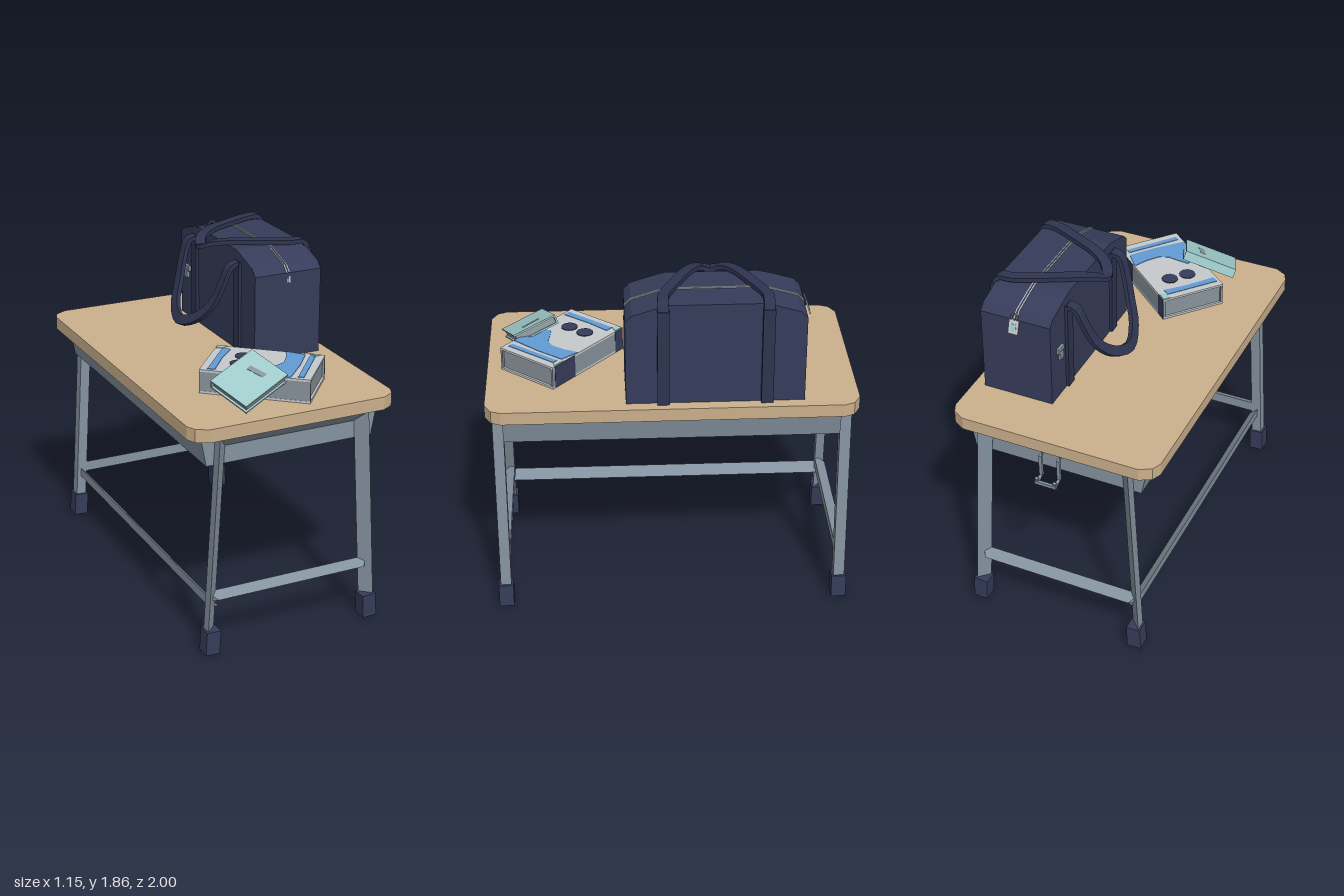
import * as THREE from 'three';
import { ConvexGeometry } from 'three/addons/geometries/ConvexGeometry.js';

const mat = (name, color) => {
  const m = new THREE.MeshStandardMaterial({ color });
  m.name = name;
  return m;
};
const V = (x, y, z) => new THREE.Vector3(x, y, z);

export function createModel() {
  const wood = mat('wood', 0xcbb08c);
  const steel = mat('steel', 0x84929f);
  const navy = mat('navy', 0x363c5a);
  const strapNavy = mat('strap navy', 0x2e3450);
  const teal = mat('teal', 0x9fcaca);
  const paleGrey = mat('pale grey', 0xc6cacd);
  const blue = mat('sky blue', 0x629bd4);
  const pageGrey = mat('page grey', 0x87929a);

  const root = new THREE.Group();
  const add = (name, geo, m, parent = root) => {
    const mesh = new THREE.Mesh(geo, m);
    mesh.name = name;
    parent.add(mesh);
    return mesh;
  };
  const box = (name, w, h, d, x, y, z, m, parent) => {
    const mesh = add(name, new THREE.BoxGeometry(w, h, d), m, parent);
    mesh.position.set(x, y, z);
    return mesh;
  };
  const hull = (name, pts, m, parent) => add(name, new ConvexGeometry(pts), m, parent);
  const group = (name) => {
    const g = new THREE.Group();
    g.name = name;
    root.add(g);
    return g;
  };

  // Flat strap swept along points; up sets which way its broad face looks
  const ribbon = (pts, up, w, t) => {
    const pos = [], idx = [], n = pts.length;
    pts.forEach((p, i) => {
      const T = pts[Math.min(i + 1, n - 1)].clone().sub(pts[Math.max(i - 1, 0)]).normalize();
      const W = T.clone().cross(up).normalize();
      const N = W.clone().cross(T);
      for (const [a, b] of [[1, 1], [-1, 1], [-1, -1], [1, -1]]) {
        const c = p.clone().addScaledVector(W, a * w / 2).addScaledVector(N, b * t / 2);
        pos.push(c.x, c.y, c.z);
      }
      if (i < n - 1) for (let j = 0; j < 4; j++) {
        const a = i * 4 + j, b = i * 4 + (j + 1) % 4;
        idx.push(a, a + 4, b, b, a + 4, b + 4);
      }
    });
    const e = (n - 1) * 4;
    idx.push(0, 1, 2, 0, 2, 3, e, e + 2, e + 1, e, e + 3, e + 2);
    const g = new THREE.BufferGeometry();
    g.setAttribute('position', new THREE.Float32BufferAttribute(pos, 3));
    g.setIndex(idx);
    const flat = g.toNonIndexed();
    flat.computeVertexNormals();
    return flat;
  };

  // Table top with faceted corners
  const hz = 0.973, top = [];
  const corner = [[0.575, hz - 0.085], [0.553, hz - 0.035], [0.49, hz]];
  for (const y of [1.2, 1.27]) for (const [x, z] of corner)
    for (const sx of [-1, 1]) for (const sz of [-1, 1]) top.push(V(sx * x, y, 0.027 + sz * z));
  hull('tableTop', top, wood);

  // Tapered tray under the top
  const tray = [];
  for (const s of [-1, 1]) for (const z of [-0.855, 0.912]) tray.push(V(s * 0.5, 1.2, z), V(s * 0.469, 1.035, z));
  hull('tray', tray, steel);

  // End frames: triangular legs, top bar and lower bar
  const outer = (y) => 0.493 - y * 0.0613;
  for (const [label, zo, zi] of [['front', 0.97, 0.912], ['back', -0.92, -0.86]]) {
    const topBar = [], lowBar = [];
    for (const s of [-1, 1]) {
      const leg = [];
      for (const y of [0.05, 1.193]) {
        const x = outer(y);
        leg.push(V(s * x, y, zo), V(s * x, y, zi), V(s * (x - 0.057), y, zi));
      }
      hull(label + 'Leg', leg, steel);
      topBar.push(V(s * 0.42, 1.193, zo), V(s * 0.42, 1.193, zi), V(s * 0.365, 1.13, zi));
      lowBar.push(V(s * 0.465, 0.335, zi), V(s * 0.465, 0.275, zi), V(s * 0.425, 0.305, zo));
      box(label + 'Foot', 0.078, 0.13, 0.08, s * 0.461, 0.068, (zo + zi) / 2, navy).rotation.z = s * 0.055;
    }
    hull(label + 'TopBar', topBar, steel);
    hull(label + 'LowerBar', lowBar, steel);
  }

  // Long stretcher on one side
  const rail = [];
  for (const z of [-0.87, 0.92]) rail.push(V(-0.455, 0.298, z), V(-0.455, 0.246, z), V(-0.405, 0.246, z));
  hull('longStretcher', rail, steel);

  // Hook at the back end
  for (const s of [-1, 1]) {
    const x = s * 0.05;
    const path = [[1.18, -0.9], [1.17, -0.943], [1.045, -0.937], [1.035, -0.985], [1.06, -0.992]];
    add('hookArm', ribbon(path.map(([y, z]) => V(x, y, z)), V(0, 0.3, 1), 0.018, 0.016), steel);
  }
  box('hookBar', 0.118, 0.018, 0.016, 0, 1.035, -0.992, steel);

  // Bag body
  const bag = group('bag');
  const profile = [[0.27, 1.272], [0.27, 1.74], [0.235, 1.775], [0.1, 1.817], [0.05, 1.83],
    [-0.43, 1.83], [-0.49, 1.817], [-0.62, 1.78], [-0.655, 1.745], [-0.655, 1.272]];
  hull('bagBody', profile.flatMap(([z, y]) => [V(0.122, y, z), V(0.512, y, z)]), navy, bag);

  // Zip: two pale lines over the top
  for (const x of [0.308, 0.322]) {
    const line = profile.slice(1, -1).map(([z, y]) => V(x, y + 0.002, z));
    add('zipLine', ribbon(line, V(0, 1, 0), 0.006, 0.005), paleGrey, bag);
  }
  box('frontZipEnd', 0.008, 0.035, 0.006, 0.325, 1.705, 0.271, paleGrey, bag);
  box('frontZipStop', 0.008, 0.02, 0.006, 0.312, 1.7, 0.271, paleGrey, bag);

  // Zip pull hanging at the back
  const ring = add('zipRing', new THREE.TorusGeometry(0.018, 0.005, 4, 8), steel, bag);
  ring.position.set(0.315, 1.765, -0.66);
  ring.rotation.x = 0.3;
  box('zipPull', 0.055, 0.075, 0.007, 0.315, 1.715, -0.676, paleGrey, bag).rotation.x = 0.3;
  box('zipPullInset', 0.03, 0.04, 0.009, 0.315, 1.712, -0.678, teal, bag).rotation.x = 0.3;

  // Side buckle
  box('sideBuckleLoop', 0.016, 0.03, 0.06, 0.115, 1.56, -0.56, steel, bag);
  box('sideBuckleTab', 0.014, 0.05, 0.035, 0.112, 1.53, -0.56, steel, bag);

  // Vertical straps on both sides
  const zc = -0.19;
  for (const s of [-1, 1]) {
    const z = zc + s * 0.267;
    box('rightStrap', 0.03, 0.53, 0.062, 0.527, 1.54, z, strapNavy, bag);
    box('leftStrap', 0.018, 0.5, 0.062, 0.115, 1.525, z, strapNavy, bag);
  }

  // Handles, mirrored about the middle of the bag
  const handle = (name, half, up) => {
    const pts = [...half.map(([x, y, o]) => V(x, y, zc + o)),
      ...half.slice(0, -1).reverse().map(([x, y, o]) => V(x, y, zc - o))];
    add(name, ribbon(new THREE.CatmullRomCurve3(pts).getPoints(32), up, 0.056, 0.024), strapNavy, bag);
  };
  handle('raisedHandle', [[0.532, 1.785, 0.267], [0.5, 1.842, 0.267], [0.43, 1.845, 0.262],
    [0.29, 1.846, 0.2], [0.15, 1.846, 0.13], [0.06, 1.83, 0.065], [0.025, 1.8, 0]], V(0, 1, 0));
  handle('hangingHandle', [[0.115, 1.77, 0.267], [0.07, 1.755, 0.267], [0.035, 1.67, 0.255],
    [-0.01, 1.54, 0.215], [-0.065, 1.45, 0.14], [-0.105, 1.4, 0]], V(-0.87, 0.48, 0));

  // A closed book: covers, inset pages, and a spine at its -z edge
  const book = (g, w, h, d, c, coverMat, spineMat) => {
    for (const s of [-1, 1]) box('cover', w, c, d, 0, s * (h - c) / 2, 0, coverMat, g);
    box('pages', w - 0.024, h - 2 * c, d - 0.02, 0, 0, 0, pageGrey, g);
    box('spine', w, h - 2 * c, c, 0, 0, -(d - c) / 2, spineMat, g);
  };

  // Large illustrated book
  const big = group('largeBook');
  const bw = 0.578, bh = 0.128, bd = 0.365;
  book(big, bw, bh, bd, 0.012, paleGrey, pageGrey);
  big.position.set(0.002, 1.272 + bh / 2, 0.597);
  big.rotation.y = -0.707;
  box('foreEdgePanel', bw, bh - 0.02, 0.012, 0, 0, bd / 2 - 0.007, pageGrey, big);
  box('spineBand', 0.16, bh - 0.004, 0.004, 0.19, 0, -bd / 2, navy, big);
  box('spineBand', 0.06, bh - 0.004, 0.004, -0.255, 0, -bd / 2, navy, big);

  // Cover art as thin plates
  const plate = (name, pts, m) => {
    const shape = new THREE.Shape(pts.map(([u, v]) => new THREE.Vector2(u, -v)));
    const geo = new THREE.ExtrudeGeometry(shape, { depth: 0.003, bevelEnabled: false });
    geo.rotateX(-Math.PI / 2);
    add(name, geo, m, big).position.y = bh / 2;
  };
  plate('coverStripe', [[-0.25, -0.14], [-0.205, -0.14], [-0.215, 0], [-0.21, 0.165], [-0.25, 0.165]], blue);
  plate('coverCorner', [[-0.285, -0.18], [-0.23, -0.18], [-0.25, -0.145], [-0.285, -0.14]], teal);
  plate('coverWave', [[0.08, -0.18], [0.19, -0.16], [0.195, 0], [0.185, 0.178], [0.02, 0.178],
    [-0.025, 0.1], [0.03, 0.06], [0.08, 0.03], [0.105, -0.02], [0.1, -0.1]], blue);
  plate('coverEdgeStripe', [[0.215, -0.15], [0.245, -0.15], [0.25, 0.16], [0.22, 0.16]], blue);
  plate('coverTip', [[0.2, -0.18], [0.27, -0.18], [0.25, -0.155]], teal);
  for (const v of [-0.06, 0.048]) {
    const dot = add('coverDot', new THREE.CylinderGeometry(0.045, 0.045, 0.004, 12), navy, big);
    dot.position.set(-0.117, bh / 2 + 0.002, v);
  }

  // Small book leaning on the large one
  const small = group('smallBook');
  const ex = V(0.273, 0.098, -0.077).normalize();
  const ey = V(0.083, -0.078, 0.225).cross(ex).normalize();
  const ez = ex.clone().cross(ey);
  const sh = 0.052;
  small.quaternion.setFromRotationMatrix(new THREE.Matrix4().makeBasis(ex, ey, ez));
  small.position.set(-0.17, 1.411, 0.783).addScaledVector(ey, -sh / 2);
  book(small, 0.298, sh, 0.25, 0.009, teal, teal);
  box('coverMark', 0.03, 0.003, 0.1, 0.055, sh / 2, 0.0, pageGrey, small).rotation.y = 0.15;

  return root;
}
